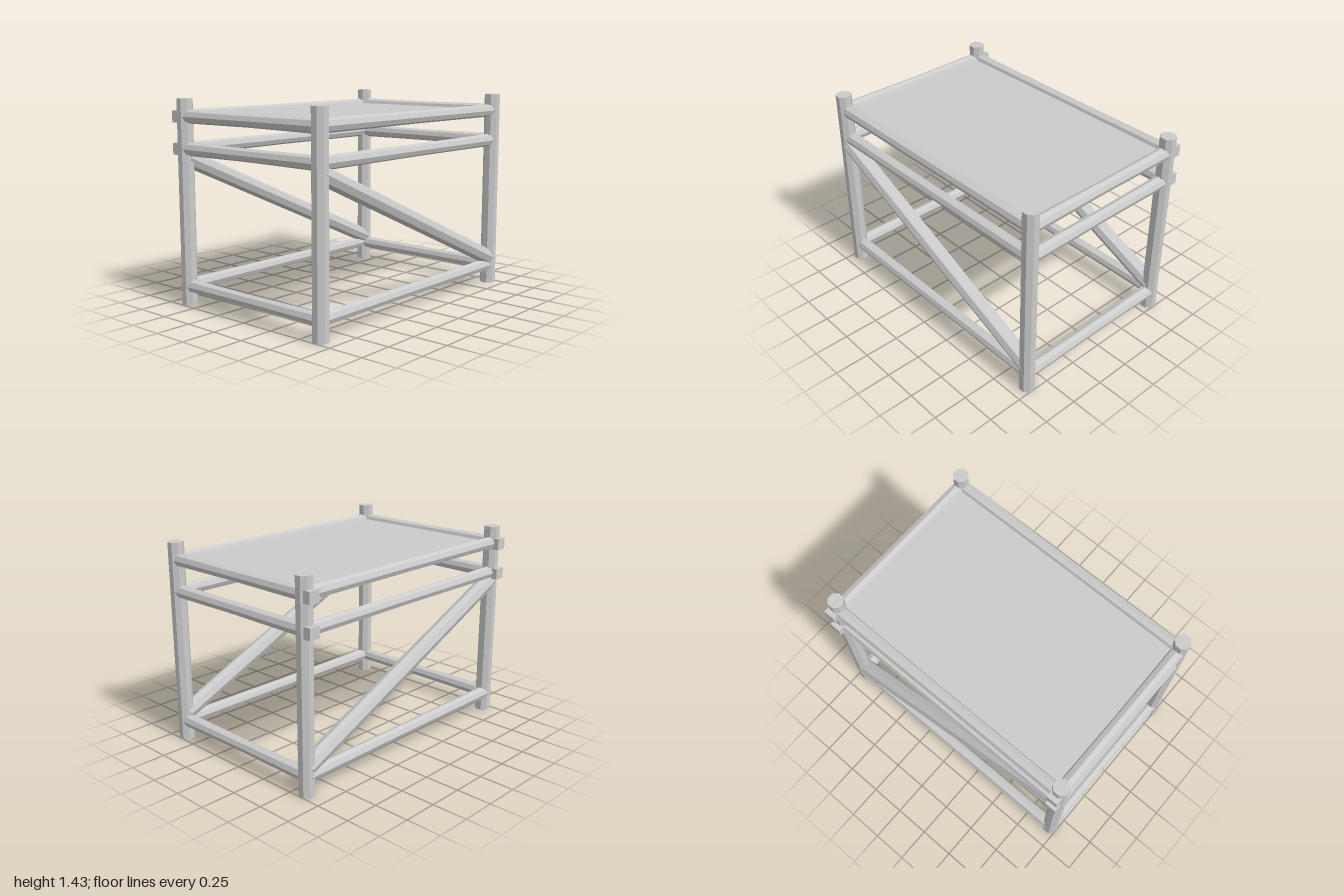
import * as THREE from 'three';

const X = 0.948, ZF = 0.633, ZB = -0.6, TOP = 1.43;
const MATERIAL = new THREE.MeshStandardMaterial({ color: 0xcccccc, flatShading: true });

function addMesh(group, name, geometry) {
  const mesh = new THREE.Mesh(geometry, MATERIAL);
  mesh.name = name;
  group.add(mesh);
  return mesh;
}

// Eight-sided pole between two points, its waist scaled at mid length
function addPole(group, name, from, to, radius, waist = 1, turn = 0) {
  const a = new THREE.Vector3(...from), b = new THREE.Vector3(...to);
  const length = a.distanceTo(b);
  const geometry = new THREE.CylinderGeometry(radius, radius, length, 8, 2);
  const p = geometry.attributes.position;
  for (let i = 0; i < p.count; i++) {
    if (Math.abs(p.getY(i)) < length * 0.1) p.setXYZ(i, p.getX(i) * waist, p.getY(i), p.getZ(i) * waist);
  }
  geometry.rotateY(turn);
  geometry.computeVertexNormals();
  const mesh = addMesh(group, name, geometry);
  mesh.position.copy(a).add(b).multiplyScalar(0.5);
  mesh.quaternion.setFromUnitVectors(new THREE.Vector3(0, 1, 0), b.sub(a).normalize());
  return mesh;
}

export function createModel() {
  const model = new THREE.Group();
  model.name = 'table';

  // Corner posts, flat sides facing out
  for (const x of [-X, X]) {
    for (const z of [ZF, ZB]) {
      addPole(model, 'cornerPost', [x, 0, z], [x, TOP, z], 0.052 / Math.cos(Math.PI / 8), 1, Math.PI / 8);
    }
  }

  // Rails around the frame at three levels
  for (const y of [0.137, 1.09, 1.31]) {
    for (const z of [ZF - 0.003, ZB - 0.01]) {
      addPole(model, 'longRail', [-X, y, z], [X, y, z], 0.046, 0.93);
    }
    for (const x of [-X, X]) {
      addPole(model, 'sideRail', [x, y, ZF], [x, y, ZB], 0.048, 0.9);
      // Squared rail ends projecting behind the back posts
      if (y > 1) {
        const end = addMesh(model, 'railEnd', new THREE.BoxGeometry(0.08, 0.08, 0.09));
        end.position.set(x, y - 0.003, -0.642);
      }
    }
  }

  // Diagonal braces on the front and back
  for (const z of [ZF - 0.005, ZB]) {
    addPole(model, 'diagonalBrace', [-X, 1.03, z], [X, 0.19, z], 0.06);
  }

  // Thin table top set between the upper rails
  const top = addMesh(model, 'tableTop', new THREE.BoxGeometry(2 * X, 0.02, ZF - ZB));
  top.position.set(0, 1.31, (ZF + ZB) / 2);

  return model;
}
